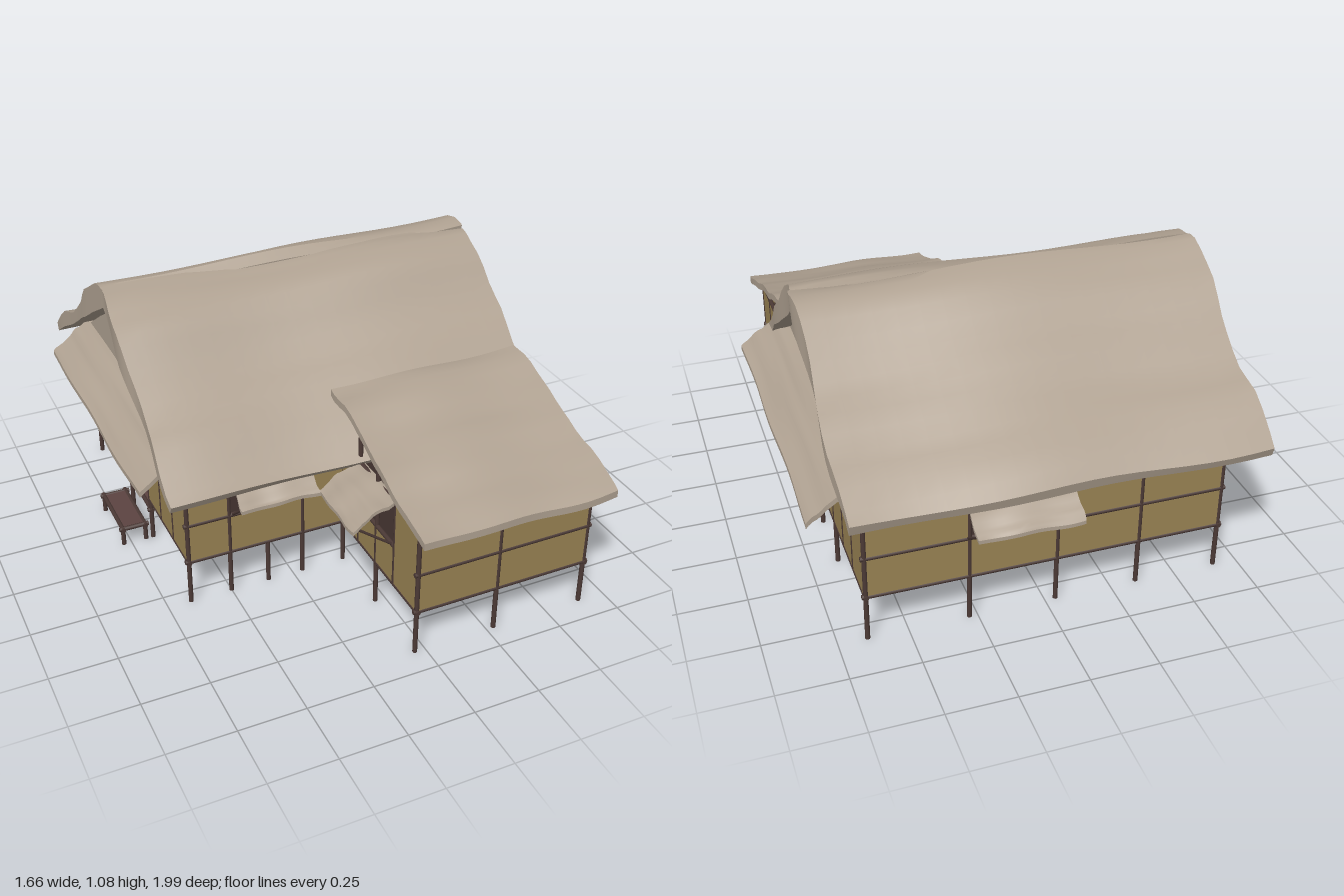
import * as THREE from 'three';
import { toCreasedNormals } from 'three/addons/utils/BufferGeometryUtils.js';

const material = (name, color) => {
  const m = new THREE.MeshStandardMaterial({ color });
  m.name = name;
  return m;
};

export function createModel() {
  const model = new THREE.Group();
  model.name = 'stiltHouse';
  const thatchMat = material('thatch', 0xb0a292);
  const wallMat = material('wovenWall', 0x9a8454);
  const woodMat = material('darkTimber', 0x4c3a36);
  const floorMat = material('floorBoards', 0x3a2c29);
  const doorMat = material('doorTimber', 0x5c4341);

  const add = (name, geometry, mat, parent = model) => {
    const mesh = new THREE.Mesh(geometry, mat);
    mesh.name = name;
    parent.add(mesh);
    return mesh;
  };
  const box = (name, mat, x0, x1, y0, y1, z0, z1) => {
    const g = new THREE.BoxGeometry(x1 - x0, y1 - y0, z1 - z0);
    g.translate((x0 + x1) / 2, (y0 + y1) / 2, (z0 + z1) / 2);
    return add(name, g, mat);
  };
  // Round timber between two points
  const pole = (name, a, b, r = 0.009, mat = woodMat) => {
    const p = new THREE.Vector3(...a), q = new THREE.Vector3(...b);
    const d = q.clone().sub(p);
    const mesh = add(name, new THREE.CylinderGeometry(r, r, d.length(), 8), mat);
    mesh.position.copy(p.add(q).multiplyScalar(0.5));
    mesh.quaternion.setFromUnitVectors(new THREE.Vector3(0, 1, 0), d.normalize());
  };

  // Wavy thatch slab: a profile of [outward, height] swept along x, then turned to face a side
  const thatch = (name, profile, x0, x1, { turn = 0, t = 0.025, amp = 0.01, under, seed = 0 } = {}) => {
    const n = 18, m = 16, pos = [], idx = [], ring = 2 * (m + 1);
    const top = new THREE.SplineCurve(profile.map(p => new THREE.Vector2(...p))).getPoints(m);
    const bottom = top.map((p, j) => under
      ? new THREE.Vector2(...under[0]).lerp(new THREE.Vector2(...under[1]), j / m)
      : new THREE.Vector2(p.x, p.y - t));
    for (let i = 0; i <= n; i++) {
      const u = i / n, x = x0 + (x1 - x0) * u;
      for (let j = 0; j < ring; j++) {
        const lower = j > m, k = lower ? ring - 1 - j : j, v = k / m;
        const p = lower ? bottom[k] : top[k];
        const wave = amp * (0.5 * Math.sin(u * 9 + seed) + 0.45 * Math.sin(v * 17 + u * 2.5 + seed)
          + 0.25 * Math.sin(v * 31 - u * 5 + seed * 2)) * (lower && under ? 0.3 : 1);
        const end = u === 0 || u === 1 ? amp * 0.5 * Math.sin(v * 11 + seed + u) : 0;
        pos.push(x + end, p.y + wave, p.x + amp * 0.5 * v * Math.sin(u * 12 + seed));
      }
    }
    for (let i = 0; i < n; i++) {
      for (let j = 0; j < ring; j++) {
        const a = i * ring + j, b = i * ring + (j + 1) % ring;
        idx.push(a, b, a + ring, b, b + ring, a + ring);
      }
    }
    const e = n * ring;
    for (let j = 0; j < m; j++) {
      const a = j, b = j + 1, c = ring - 1 - j, d = ring - 2 - j;
      idx.push(a, c, b, b, c, d, e + a, e + b, e + c, e + b, e + d, e + c);
    }
    const g = new THREE.BufferGeometry();
    g.setAttribute('position', new THREE.Float32BufferAttribute(pos, 3));
    g.setIndex(idx);
    add(name, toCreasedNormals(g, 0.6), thatchMat).rotation.y = turn;
  };

  const L = -0.66, R = 0.645, B = -0.825, F = 0.31, E = 0.9, X = -0.04;
  const Y0 = 0.18, YM = 0.34, Y1 = 0.525, w = 0.006;
  const D0 = -0.38, D1 = -0.13, DX = -0.48;

  // Floor, with a notch for the entrance
  box('mainFloor', floorMat, DX, R, 0.17, 0.186, B, F);
  box('backCornerFloor', floorMat, L, DX, 0.17, 0.186, B, D0);
  box('frontCornerFloor', floorMat, L, DX, 0.17, 0.186, D1, F);
  box('wingFloor', floorMat, X, R, 0.17, 0.186, F, E);

  // Walls, with window openings above the middle rail
  const wallX = (name, x0, x1, z, y1 = Y1) => box(name, wallMat, x0, x1, Y0, y1, z - w, z + w);
  const wallZ = (name, x, z0, z1, y1 = Y1) => box(name, wallMat, x - w, x + w, Y0, y1, z0, z1);
  wallX('frontWall', L, -0.5, F);
  wallX('frontWindowWall', -0.5, -0.21, F, YM);
  wallX('frontWall', -0.21, X, F);
  wallX('wingFrontWall', X, R, E);
  wallZ('rightWall', R, B, E);
  wallX('backWall', L, X, B);
  wallX('backWindowWall', X, 0.28, B, YM);
  wallX('backWall', 0.28, R, B);
  wallZ('wingLeftWall', X, F, 0.45);
  wallZ('wingWindowWall', X, 0.45, 0.73, YM);
  wallZ('wingLeftWall', X, 0.73, E);
  wallZ('leftWall', L, B, D0);
  wallZ('leftWall', L, D1, F);
  wallX('entranceSideWall', L, DX, D0);
  wallX('entranceSideWall', L, DX, D1);
  box('door', doorMat, DX - w, DX + w, 0.13, Y1, D0, D1);

  // Posts: [x, z, bottom]; stilted ones reach the ground
  const posts = [[L, F, 0], [-0.5, F, 0], [-0.21, F, 0], [X, F, 0], [X, E, 0], [0.28, E, 0], [R, E, 0],
    [R, F, 0], [R, 0.59, 0], [R, D1, 0], [R, D0, 0], [R, B, 0], [0.28, B, 0], [X, B, 0], [-0.35, B, 0],
    [L, B, 0], [L, D0, 0], [L, D1, 0], [DX, D0, 0], [DX, D1, 0], [X, 0.59, 0]];
  for (const z of [0.745, 0.45, 0.16, 0.02, -0.53, -0.67]) posts.push([R, z, Y0]);
  for (const z of [0.16, 0.02, -0.53, -0.67]) posts.push([L, z, Y0]);
  for (const z of [0.45, 0.73]) posts.push([X, z, Y0]);
  for (const [x, z, y] of posts) pole('post', [x, y, z], [x, Y1, z]);
  for (const x of [-0.21, X, 0.28]) for (const z of [D0, D1]) pole('innerStilt', [x, 0, z], [x, Y0, z]);
  pole('innerStilt', [0.5, 0, -0.25], [0.5, Y0, -0.25]);
  pole('innerStilt', [0.28, 0, F], [0.28, Y0, F]);
  pole('innerStilt', [-0.35, 0, F], [-0.35, Y0, F]);

  // Horizontal rails around the walls
  const o = 0.014;
  for (const y of [Y0, YM, Y1]) {
    pole('frontRail', [L - o, y, F], [X + o, y, F]);
    pole('wingFrontRail', [X - o, y, E], [R + o, y, E]);
    pole('backRail', [L - o, y, B], [R + o, y, B]);
    if (y === YM) continue;
    pole('rightRail', [R, y, B - o], [R, y, E + o]);
    pole('wingLeftRail', [X, y, F], [X, y, E + o]);
    if (y === Y1) pole('leftRail', [L, y, B - o], [L, y, F + o]);
    else {
      pole('leftRail', [L, y, B - o], [L, y, D0]);
      pole('leftRail', [L, y, D1], [L, y, F + o]);
    }
  }
  pole('wingWindowSill', [X, YM, 0.45], [X, YM, 0.73]);
  pole('windowMullion', [-0.35, YM, F], [-0.35, Y1, F], 0.007);

  // Entrance landing and lower step
  const step = (name, x0, x1, y) => {
    box(name, doorMat, x0, x1, y - 0.005, y + 0.006, D0, D1);
    for (const x of [x0, x1]) {
      pole(name + 'Edge', [x, y, D0 - o], [x, y, D1 + o]);
      for (const z of [D0, D1]) pole(name + 'Leg', [x, 0, z], [x, y, z]);
    }
    for (const z of [D0, D1]) pole(name + 'Side', [x0 - o, y, z], [x1 + o, y, z]);
  };
  step('landing', L, DX, 0.13);
  step('lowerStep', -0.78, -0.69, 0.07);

  // Main roof slopes, meeting at a ridge
  thatch('frontRoof', [[-0.24, 1.045], [-0.17, 1.045], [-0.05, 0.98], [0.06, 0.87], [0.2, 0.755], [0.34, 0.66], [0.47, 0.55]],
    -0.76, 0.72, { under: [[-0.24, 0.99], [0.455, 0.525]], amp: 0.016, seed: 1 });
  thatch('backRoof', [[0.215, 1.05], [0.27, 1.06], [0.4, 1.0], [0.54, 0.87], [0.68, 0.77], [0.82, 0.69], [0.97, 0.58]],
    -0.725, 0.76, { turn: Math.PI, under: [[0.22, 0.99], [0.96, 0.545]], amp: 0.016, seed: 3.4 });

  // Gable ends and the skirt roofs under them
  const gable = new THREE.Shape([[0.42, 0.54], [-0.235, 1.0], [-0.87, 0.59], [-0.82, 0.53]].map(p => new THREE.Vector2(...p)));
  for (const x of [L, R]) {
    const g = new THREE.ExtrudeGeometry(gable, { depth: 0.012, bevelEnabled: false });
    g.translate(0, 0, -0.006);
    g.rotateY(-Math.PI / 2);
    add('gable', g, thatchMat).position.x = x;
  }
  const skirt = [[0.63, 0.665], [0.69, 0.63], [0.75, 0.585], [0.825, 0.53]];
  thatch('rightSkirtRoof', skirt, -0.39, 0.825, { turn: Math.PI / 2, t: 0.02, amp: 0.007, seed: 2 });
  thatch('leftSkirtRoof', skirt, -0.83, 0.31, { turn: -Math.PI / 2, t: 0.02, amp: 0.007, seed: 5 });

  // Wing roof on open framing
  thatch('wingRoof', [[0.28, 0.755], [0.4, 0.735], [0.55, 0.68], [0.7, 0.635], [0.85, 0.58], [0.99, 0.535]],
    -0.075, 0.69, { t: 0.028, seed: 4 });
  for (const x of [X, R]) {
    pole('wingRafter', [x, 0.53, 0.92], [x, 0.72, 0.32]);
    for (const [z, y] of [[0.745, 0.6], [0.59, 0.65], [0.45, 0.7]]) pole('wingRoofPost', [x, Y1, z], [x, y, z]);
  }

  // Window awnings with slanted struts; s0 to s1 runs along the wall
  const awning = (name, turn, wall, reach, s0, s1) => {
    thatch(name, [[wall - 0.01, 0.535], [wall + reach * 0.5, 0.51], [wall + reach, 0.452]], s0, s1,
      { turn, t: 0.014, amp: 0.005, seed: s0 * 9 });
    const up = new THREE.Vector3(0, 1, 0);
    const place = (s, y, d) => new THREE.Vector3(s, y, d).applyAxisAngle(up, turn).toArray();
    for (const s of [s0 + 0.02, s1 - 0.02]) {
      pole(name + 'Strut', place(s, YM, wall), place(s, 0.45, wall + reach * 0.88), 0.005);
    }
  };
  awning('frontAwning', 0, F, 0.15, -0.505, -0.205);
  awning('backAwning', Math.PI, -B, 0.17, -0.305, 0.07);
  awning('wingAwning', -Math.PI / 2, -X, 0.165, 0.45, 0.73);

  return model;
}
